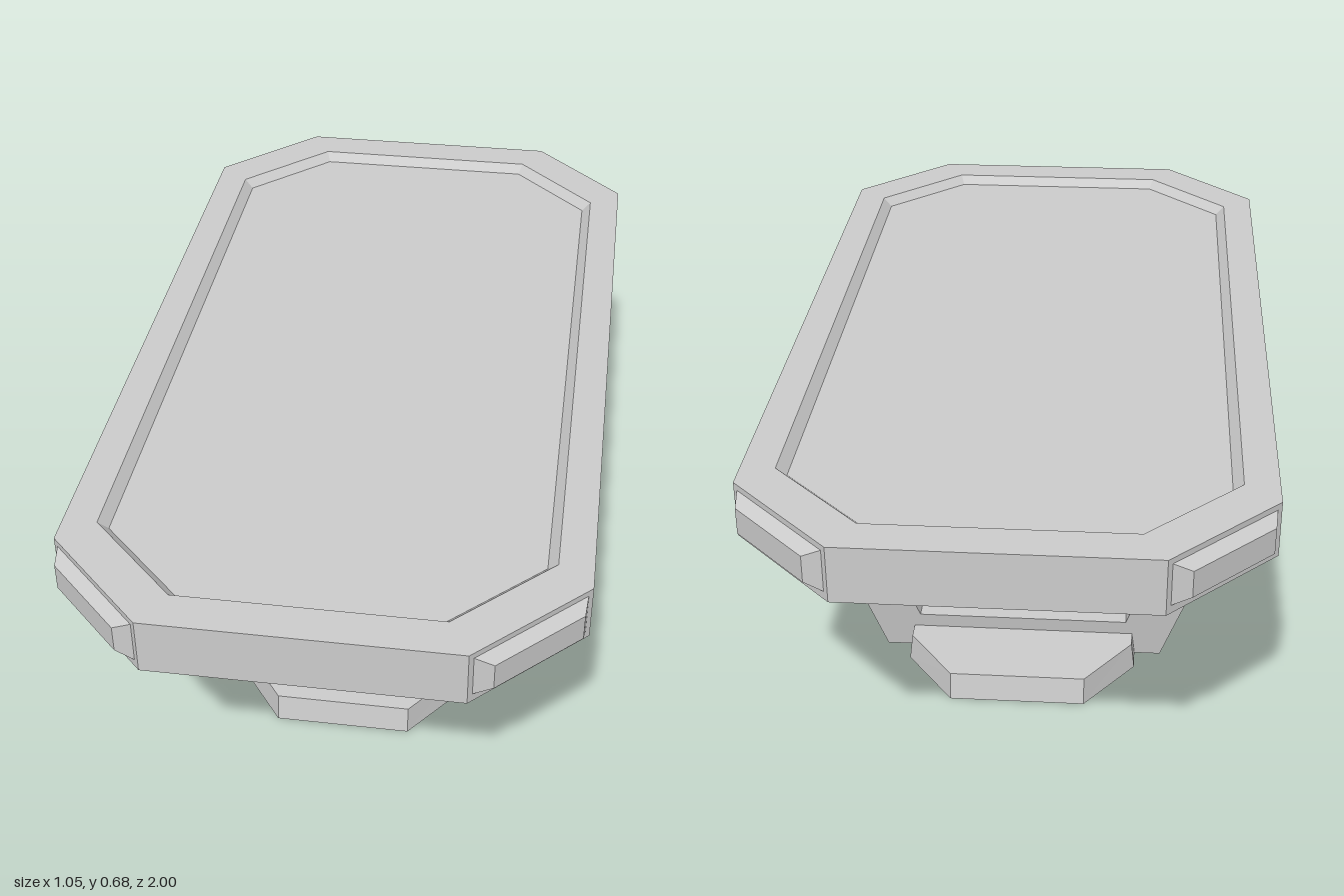
import * as THREE from 'three';

const material = new THREE.MeshStandardMaterial({ color: 0xcccccc, flatShading: true });

function addMesh(parent, name, geometry) {
  const mesh = new THREE.Mesh(geometry, material);
  mesh.name = name;
  parent.add(mesh);
  return mesh;
}

// Chamfered rectangle, anticlockwise from above
function octagon(hx, hz, cx, cz, y) {
  const ix = hx - cx, iz = hz - cz;
  return [[-ix, hz], [ix, hz], [hx, iz], [hx, -iz], [ix, -hz], [-ix, -hz], [-hx, -iz], [-hx, iz]]
    .map(([x, z]) => [x, y, z]);
}

// Solid skinned through successive rings, closed by flat caps
function loft(rings) {
  const pos = [];
  const tri = (a, b, c) => pos.push(...a, ...b, ...c);
  const n = rings[0].length;
  for (let i = 0; i < rings.length - 1; i++) {
    for (let j = 0; j < n; j++) {
      const k = (j + 1) % n, lo = rings[i], hi = rings[i + 1];
      tri(lo[j], lo[k], hi[k]);
      tri(lo[j], hi[k], hi[j]);
    }
  }
  const first = rings[0], last = rings[rings.length - 1];
  for (let j = 1; j < n - 1; j++) {
    tri(first[0], first[j + 1], first[j]);
    tri(last[0], last[j], last[j + 1]);
  }
  const geometry = new THREE.BufferGeometry();
  geometry.setAttribute('position', new THREE.Float32BufferAttribute(pos, 3));
  geometry.computeVertexNormals();
  return geometry;
}

// Frustum whose outer (+z) face is smaller than its back
function padGeometry() {
  const geometry = new THREE.BoxGeometry(0.28, 0.09, 0.025);
  const p = geometry.attributes.position;
  for (let i = 0; i < p.count; i++) {
    if (p.getZ(i) > 0) p.setXY(i, p.getX(i) * 0.79, p.getY(i) * 0.63);
  }
  geometry.translate(0, 0, 0.0125);
  geometry.computeVertexNormals();
  return geometry;
}

// U-shaped frame, leaning outward along +z as it rises
function trestleGeometry() {
  const outline = [[-0.315, 0], [0.315, 0], [0.5, 0.56], [0.395, 0.56],
    [0.235, 0.095], [-0.235, 0.095], [-0.395, 0.56], [-0.5, 0.56]];
  const shape = new THREE.Shape(outline.map(([x, y]) => new THREE.Vector2(x, y)));
  const geometry = new THREE.ExtrudeGeometry(shape, { depth: 0.096, bevelEnabled: false });
  const p = geometry.attributes.position;
  for (let i = 0; i < p.count; i++) p.setZ(i, p.getZ(i) + 0.257 + p.getY(i) * 0.171);
  geometry.computeVertexNormals();
  return geometry;
}

export function createModel() {
  const model = new THREE.Group();
  model.name = 'table';

  // Top slab with a shallow, slope-sided recess
  addMesh(model, 'tableTop', loft([
    octagon(0.525, 1, 0.215, 0.215, 0.56),
    octagon(0.525, 1, 0.215, 0.215, 0.68),
    octagon(0.455, 0.915, 0.19, 0.19, 0.68),
    octagon(0.435, 0.895, 0.178, 0.178, 0.66),
  ]));

  // Bevelled pads on the four chamfered corners
  const pad = padGeometry();
  for (const sx of [-1, 1]) {
    for (const sz of [-1, 1]) {
      const mesh = addMesh(model, 'cornerPad', pad);
      mesh.position.set(sx * 0.4175, 0.6225, sz * 0.8925);
      mesh.rotation.y = Math.atan2(sx, sz);
    }
  }

  // Front and back leg frames
  const trestle = trestleGeometry();
  addMesh(model, 'frontLegs', trestle);
  addMesh(model, 'backLegs', trestle).rotation.y = Math.PI;

  // Tapered floor plate
  addMesh(model, 'basePlate', loft([
    octagon(0.257, 0.552, 0.109, 0.145, 0),
    octagon(0.25, 0.541, 0.102, 0.137, 0.06),
  ]));

  return model;
}
